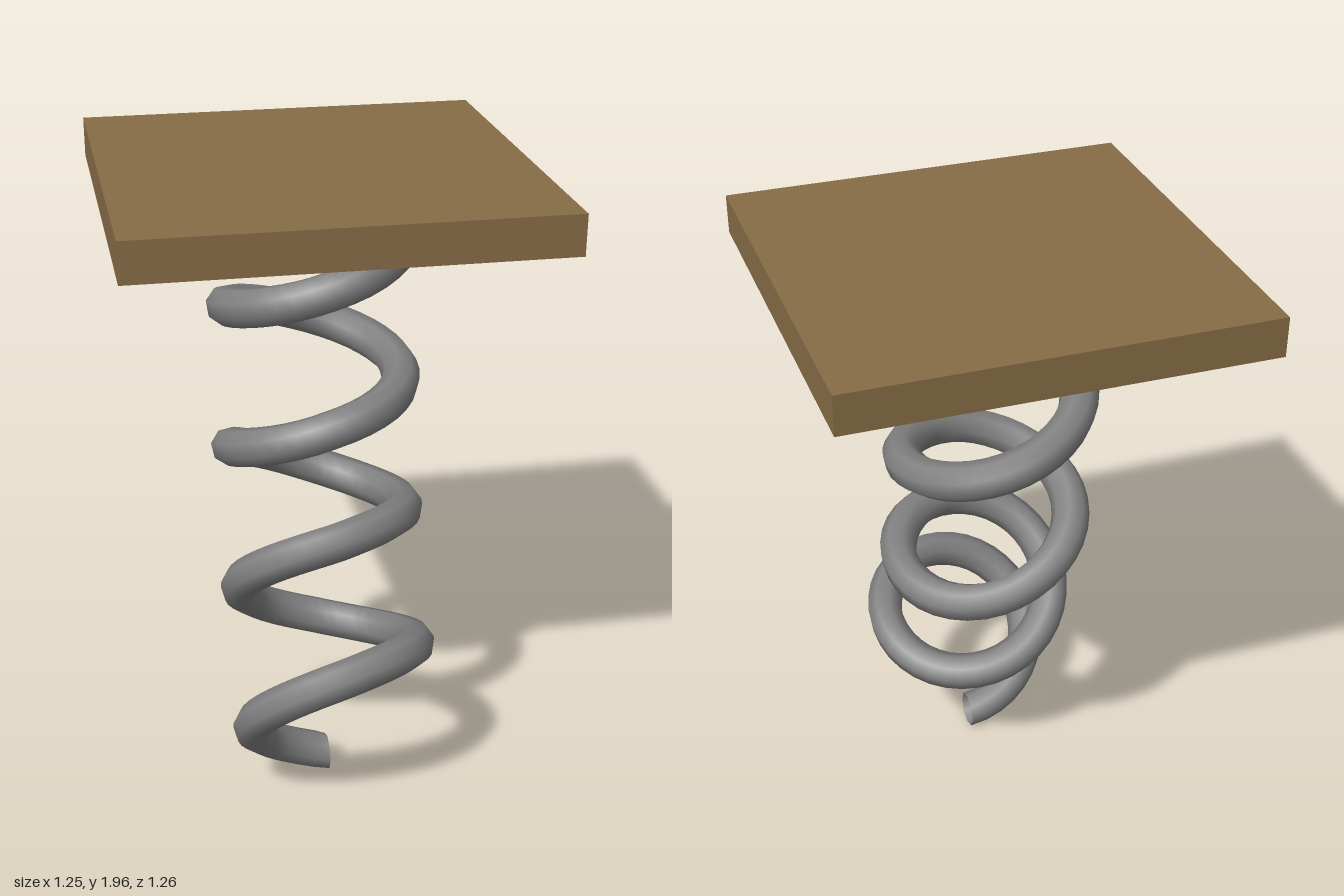
import * as THREE from 'three';

const TURNS = 4, COIL_RADIUS = 0.267, WIRE_RADIUS = 0.06;

// Bent centre line of the spring, one point per half turn: [y, z]
const axis = new THREE.CatmullRomCurve3([
  [0.245, 0.46], [0.43, 0.345], [0.615, 0.23], [0.81, 0.128], [1.01, 0.047],
  [1.23, 0.015], [1.45, -0.006], [1.69, -0.008], [1.93, -0.008],
].map(([y, z]) => new THREE.Vector3(0, y, z)), false, 'catmullrom', 0.5);

// Helix wound around the bent centre line, starting at its back
class CoilCurve extends THREE.Curve {
  getPoint(t, target = new THREE.Vector3()) {
    const c = axis.getPoint(t);
    const d = axis.getTangent(t);
    const tilt = Math.atan2(-d.z * 1.1, d.y);
    const a = t * TURNS * Math.PI * 2;
    const forward = -Math.cos(a) * COIL_RADIUS;
    return target.set(
      -Math.sin(a) * COIL_RADIUS,
      c.y + forward * Math.sin(tilt),
      c.z + forward * Math.cos(tilt),
    );
  }
}

export function createModel() {
  const wood = new THREE.MeshStandardMaterial({ color: 0x866c46 });
  wood.name = 'brown wood';
  const steel = new THREE.MeshStandardMaterial({ color: 0x808080, side: THREE.DoubleSide });
  steel.name = 'grey steel';

  const model = new THREE.Group();
  model.name = 'springPlatform';

  // Square board on top
  const board = new THREE.Mesh(new THREE.BoxGeometry(1.255, 0.12, 1.255), wood);
  board.name = 'board';
  board.position.set(0, 1.94, -0.005);
  model.add(board);

  // Open-ended wire with its lower end cut square at x = 0
  const sides = 8;
  const geometry = new THREE.TubeGeometry(new CoilCurve(), 144, WIRE_RADIUS, sides, false);
  for (let i = 0; i <= sides; i++) geometry.attributes.position.setX(i, 0);
  const spring = new THREE.Mesh(geometry, steel);
  spring.name = 'coilSpring';
  model.add(spring);

  return model;
}
